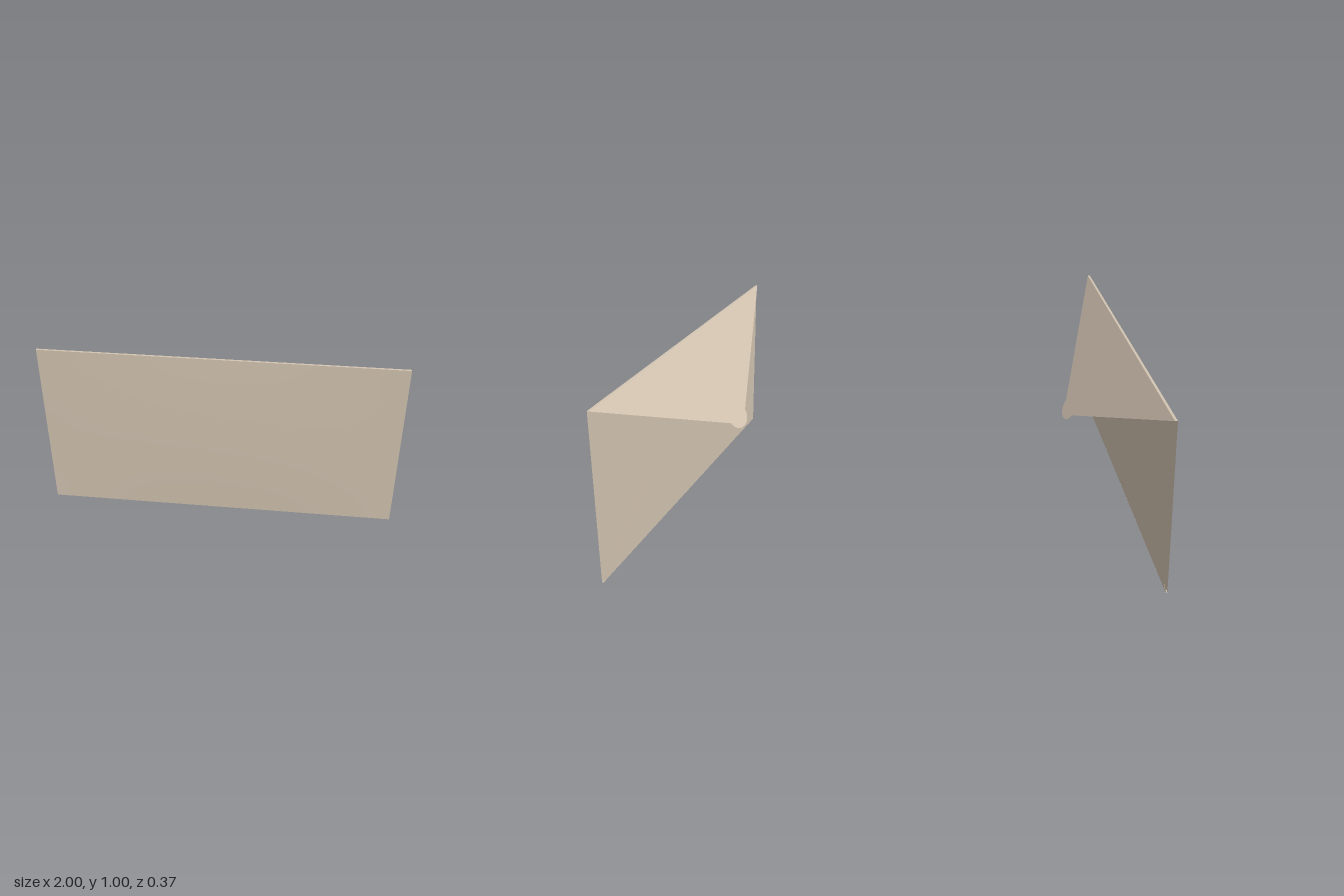
import * as THREE from 'three';

export function createModel() {
  const envelope = new THREE.Group();
  envelope.name = 'envelope';
  const paper = new THREE.MeshStandardMaterial({ color: 0xd4c5b2, side: THREE.DoubleSide });
  paper.name = 'beige paper';

  const add = (name, geometry) => {
    const mesh = new THREE.Mesh(geometry, paper);
    mesh.name = name;
    envelope.add(mesh);
    return mesh;
  };
  // Flat sheet facing the back, outlined in x and y
  const sheet = (name, points, z) => {
    const shape = new THREE.Shape(points.map(([x, y]) => new THREE.Vector2(-x, y)));
    add(name, new THREE.ShapeGeometry(shape).rotateY(Math.PI)).position.z = z;
  };

  // Front panel, slightly puffed towards its middle
  const front = new THREE.PlaneGeometry(2, 1, 24, 12);
  const pos = front.attributes.position;
  for (let i = 0; i < pos.count; i++) {
    const x = pos.getX(i), y = pos.getY(i) * 2;
    pos.setZ(i, 0.176 + 0.008 * (1 - x * x) * (1 - y * y));
  }
  front.computeVertexNormals();
  add('frontPanel', front).position.y = 0.5;

  // Folded side flaps, tucked under the bottom flap
  for (const s of [1, -1]) {
    sheet(s > 0 ? 'leftFlap' : 'rightFlap', [[s, 0], [s, 1], [s * 0.2, 0.587]], 0.168);
  }
  sheet('bottomFlap', [[-1, 0], [1, 0], [0.14, 0.63], [-0.14, 0.63]], 0.1665);

  // Narrow folds joining the front to the bottom flap and the top flap
  add('bottomFold', new THREE.PlaneGeometry(2, 0.0095).rotateX(Math.PI / 2)).position.set(0, 0, 0.1712);
  add('topFold', new THREE.PlaneGeometry(2, 0.013).rotateX(-Math.PI / 2)).position.set(0, 1, 0.1695);

  // Open top flap with a rounded tip, hinged along the top edge
  const drop = 0.485, reach = 0.348;
  const length = Math.hypot(drop, reach);
  const flap = new THREE.Shape();
  flap.moveTo(-1, 0);
  flap.lineTo(-0.095, -length + 0.065);
  flap.absellipse(0, -length + 0.065, 0.095, 0.065, Math.PI, Math.PI * 2, false);
  flap.lineTo(1, 0);
  flap.closePath();
  const flapMesh = add('topFlap', new THREE.ShapeGeometry(flap, 20).rotateY(Math.PI));
  flapMesh.position.set(0, 1, 0.163);
  flapMesh.rotation.x = Math.atan2(reach, drop);

  return envelope;
}
